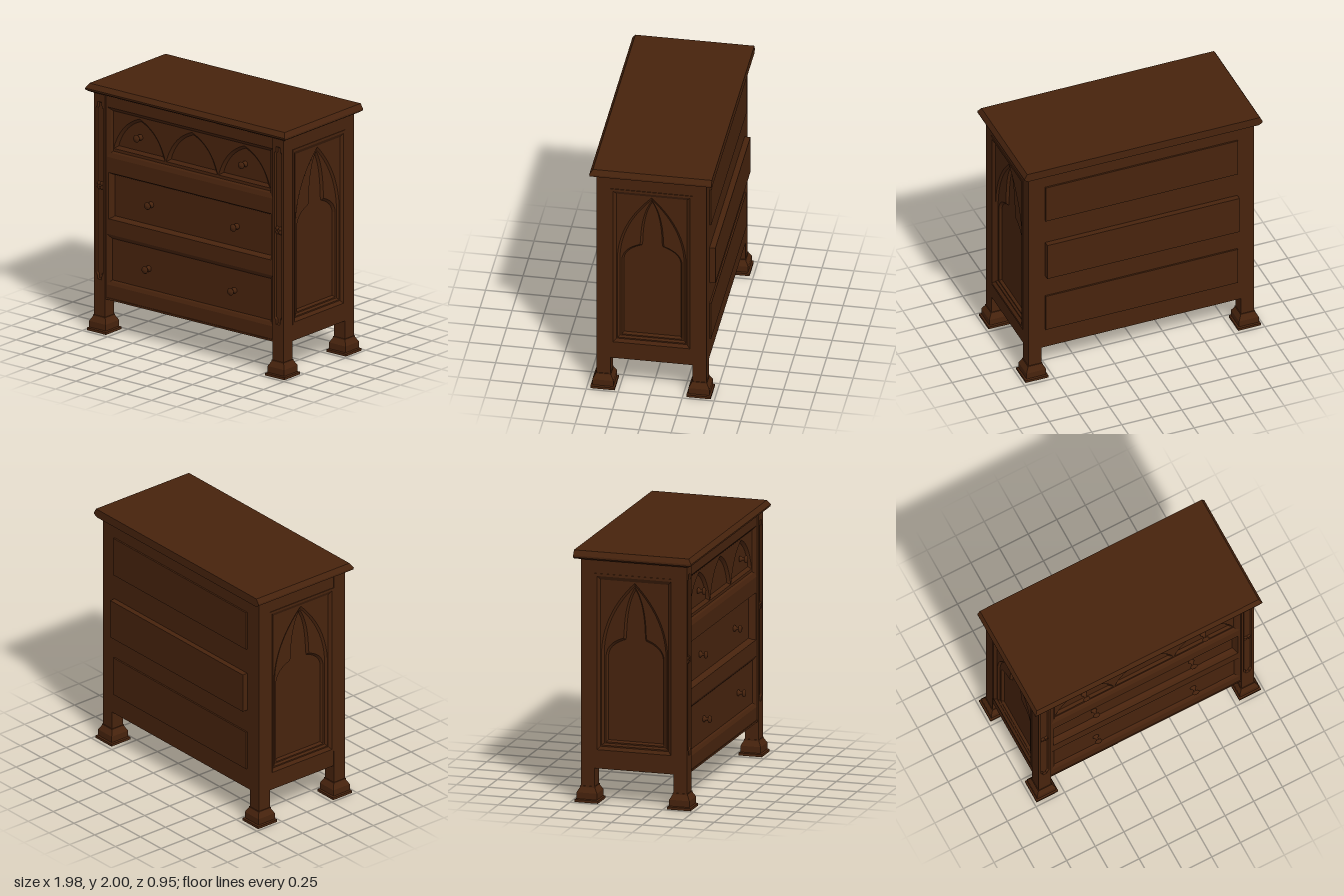
import * as THREE from 'three';

const wood = new THREE.MeshStandardMaterial({ color: 0x47230d });
wood.name = 'dark brown wood';

const V = (x, y) => new THREE.Vector2(x, y);

function add(parent, name, geometry, x = 0, y = 0, z = 0) {
  const m = new THREE.Mesh(geometry, wood);
  m.name = name;
  m.position.set(x, y, z);
  parent.add(m);
  return m;
}

// Box given by its limits
function box(parent, name, x0, x1, y0, y1, z0, z1) {
  return add(parent, name, new THREE.BoxGeometry(x1 - x0, y1 - y0, z1 - z0),
    (x0 + x1) / 2, (y0 + y1) / 2, (z0 + z1) / 2);
}

function flat(geometry) {
  const g = geometry.index ? geometry.toNonIndexed() : geometry;
  g.computeVertexNormals();
  return g;
}

const rect = (x0, x1, y0, y1) => [V(x0, y0), V(x1, y0), V(x1, y1), V(x0, y1)];

// Closed outline from its right half, listed from the bottom to the top
function mirrored(half) {
  const left = half.filter(p => p.x > 1e-6).map(p => V(-p.x, p.y)).reverse();
  return [...half, ...left];
}
const shift = (pts, dx) => pts.map(p => V(p.x + dx, p.y));
const bend = (a, c, b, n = 10) => new THREE.QuadraticBezierCurve(a, c, b).getPoints(n);

// Flat plate with holes
function plate(parent, name, outline, holes, z0, z1) {
  const s = new THREE.Shape(outline);
  s.holes = holes.map(h => new THREE.Path(h));
  return add(parent, name, new THREE.ExtrudeGeometry(s, { depth: z1 - z0, bevelEnabled: false }), 0, 0, z0);
}

// Sloped moulding between two outlines with equal point counts
function slope(parent, name, outer, inner, z0, z1) {
  const pos = [], n = outer.length;
  for (let i = 0; i < n; i++) {
    const j = (i + 1) % n;
    const a = [outer[i].x, outer[i].y, z0], b = [outer[j].x, outer[j].y, z0];
    const c = [inner[j].x, inner[j].y, z1], d = [inner[i].x, inner[i].y, z1];
    pos.push(...a, ...b, ...c, ...a, ...c, ...d);
  }
  const g = new THREE.BufferGeometry();
  g.setAttribute('position', new THREE.Float32BufferAttribute(pos, 3));
  return add(parent, name, flat(g));
}

const lancet = (w, y0, ys, ya) => mirrored([V(w, y0),
  ...bend(V(w, ys), V(w * 0.95, ys + (ya - ys) * 0.55), V(0, ya), 14)]);

const trefoil = d => mirrored([V(0.235 - d, 0.48 + d),
  ...bend(V(0.235 - d, 1.17), V(0.225 - d, 1.27 - d), V(0.095 - d, 1.315 - d)),
  ...bend(V(0.09 - d, 1.345 - d), V(0.085 - d, 1.6 - d), V(0, 1.725 - d * 1.8))]);

const drawerArch = d => mirrored([V(0.255 - d, 1.495 + d * 0.7),
  ...bend(V(0.25 - d, 1.515 + d * 0.7), V(0.18 - d * 0.7, 1.72 - d * 0.5), V(0, 1.785 - d * 0.7), 12)]);

function createTop() {
  // Rows run from the underside to the top: y, half width, front z
  const rows = [[1.93, 0.962, 0.445], [1.947, 0.99, 0.475], [1.962, 0.99, 0.478], [2.0, 0.968, 0.452]];
  const g = new THREE.BoxGeometry(2, 3, 2, 1, 3, 1);
  const p = g.attributes.position;
  for (let i = 0; i < p.count; i++) {
    const [y, hx, fz] = rows[Math.round(p.getY(i) + 1.5)];
    p.setXYZ(i, Math.sign(p.getX(i)) * hx, y, p.getZ(i) > 0 ? fz : -0.477);
  }
  return flat(g);
}

function createFoot() {
  const r = Math.SQRT2;
  const prof = [[0, 0.02], [0.095, 0], [0.095, 0.02], [0.082, 0.025], [0.082, 0.075], [0.06, 0.115], [0.06, 0.125], [0.05, 0.125]];
  return flat(new THREE.LatheGeometry(prof.map(([x, y]) => V(x * r, y)), 4, Math.PI / 4));
}

function createKnob() {
  const prof = [[0.024, 0], [0.024, 0.01], [0.012, 0.02], [0.011, 0.036], [0.026, 0.042], [0.03, 0.051], [0.024, 0.06], [0, 0.065]];
  return new THREE.LatheGeometry(prof.map(([x, y]) => V(x, y)), 20).rotateX(Math.PI / 2);
}

// Front post face with a carved groove and flower
function carvedPost(parent, side) {
  const post = new THREE.Group();
  post.name = 'frontPost';
  post.position.set(side * 0.885, 0, 0);
  parent.add(post);
  box(post, 'postCore', -0.055, 0.055, 0.11, 1.94, 0.32, 0.416);
  const groove = d => mirrored([V(0.018 - d, 0.42 + d), V(0.022 - d, 0.455 + d), V(0.035 - d, 0.47 + d),
    V(0.035 - d, 1.81 - d), V(0.022 - d, 1.825 - d), V(0.018 - d, 1.86 - d)]);
  plate(post, 'postFace', rect(-0.055, 0.055, 0.11, 1.94), [groove(0)], 0.416, 0.43);
  slope(post, 'grooveEdge', groove(0), groove(0.009), 0.43, 0.417);
  const flower = new THREE.SphereGeometry(0.018, 12, 8);
  for (let i = 0; i < 4; i++) {
    const a = Math.PI / 4 + i * Math.PI / 2;
    add(post, 'petal', flower, Math.cos(a) * 0.02, 1.18 + Math.sin(a) * 0.02, 0.416).scale.z = 0.8;
  }
  add(post, 'flowerCentre', new THREE.SphereGeometry(0.01, 12, 8), 0, 1.18, 0.425);
}

// Side panel: frame, pointed arch and three-lobed arch stepping inwards
function sidePanel(parent, side) {
  const panel = new THREE.Group();
  panel.name = 'sidePanel';
  panel.rotation.y = side * Math.PI / 2;
  parent.add(panel);
  const f0 = rect(-0.3, 0.3, 0.42, 1.8), f1 = rect(-0.275, 0.275, 0.445, 1.77);
  plate(panel, 'sideRails', rect(-0.33, 0.33, 0.27, 1.94), [rect(-0.318, 0.318, 0.4, 1.82)], 0.88, 0.938);
  plate(panel, 'panelFrame', rect(-0.32, 0.32, 0.4, 1.82), [f0], 0.88, 0.943);
  slope(panel, 'panelMoulding', f0, f1, 0.943, 0.925);
  const a0 = lancet(0.268, 0.455, 1.2, 1.76), a1 = lancet(0.25, 0.47, 1.2, 1.735);
  plate(panel, 'spandrel', rect(-0.3, 0.3, 0.42, 1.8), [a0], 0.88, 0.925);
  slope(panel, 'pointedArch', a0, a1, 0.925, 0.912);
  plate(panel, 'archTracery', a0, [trefoil(0)], 0.88, 0.912);
  slope(panel, 'lobedArch', trefoil(0), trefoil(0.014), 0.912, 0.892);
}

export function createModel() {
  const model = new THREE.Group();
  model.name = 'chestOfDrawers';

  // Carcass and top
  box(model, 'carcass', -0.892, 0.892, 0.27, 1.94, -0.43, 0.352);
  add(model, 'top', createTop());

  // Posts, feet and side panels
  const foot = createFoot();
  for (const s of [-1, 1]) {
    carvedPost(model, s);
    box(model, 'backPost', s * 0.885 - 0.055, s * 0.885 + 0.055, 0.11, 1.94, -0.43, -0.32);
    for (const z of [-0.375, 0.375]) add(model, 'foot', foot, s * 0.885, 0, z);
    sidePanel(model, s);
  }

  // Drawers: opening, panel face, depth and knob position
  const drawers = [
    { open: [-0.822, 0.822, 1.425, 1.83], face: [-0.78, 0.78, 1.472, 1.8], z: 0.392, knobX: 0.52, knobY: 1.635, knobZ: 0.38 },
    { open: [-0.805, 0.805, 0.925, 1.3], face: [-0.785, 0.785, 0.94, 1.273], z: 0.364, knobX: 0.425, knobY: 1.105, knobZ: 0.364 },
    { open: [-0.822, 0.822, 0.39, 0.8], face: [-0.785, 0.785, 0.428, 0.765], z: 0.395, knobX: 0.425, knobY: 0.595, knobZ: 0.395 },
  ];
  plate(model, 'frontRails', rect(-0.832, 0.832, 0.27, 1.94), drawers.map(d => rect(...d.open)), 0.345, 0.418);
  box(model, 'bottomBead', -0.83, 0.83, 0.27, 0.285, 0.4, 0.424);

  const knob = createKnob();
  drawers.forEach((d, i) => {
    const g = new THREE.Group();
    g.name = 'drawer';
    model.add(g);
    const [x0, x1, y0, y1] = d.face;
    const lip = rect(x0 - 0.012, x1 + 0.012, y0 - 0.012, y1 + 0.012);
    const mid = (d.z + 0.418) / 2;
    slope(g, 'outerMoulding', rect(...d.open), lip, 0.418, mid);
    slope(g, 'innerMoulding', lip, rect(...d.face), mid, d.z);
    if (i === 0) {
      // Three pointed arches sunk into the top drawer
      const at = [-0.52, 0, 0.52];
      plate(g, 'archedFace', rect(...d.open), at.map(x => shift(drawerArch(0), x)), 0.35, d.z);
      for (const x of at) {
        slope(g, 'archMoulding', shift(drawerArch(0), x), shift(drawerArch(0.035), x), d.z, 0.372);
        plate(g, 'archBack', shift(drawerArch(0.03), x), [], 0.35, 0.372);
      }
    } else {
      box(g, 'drawerFace', ...d.open, 0.345, d.z);
    }
    for (const s of [-1, 1]) add(g, 'knob', knob, s * d.knobX, d.knobY, d.knobZ);
  });

  // Raised drawer backs
  [[1.48, 1.8, -0.443], [0.95, 1.27, -0.475], [0.44, 0.76, -0.443]].forEach(([y0, y1, z]) =>
    box(model, 'drawerBack', -0.8, 0.8, y0, y1, z, -0.42));

  return model;
}
